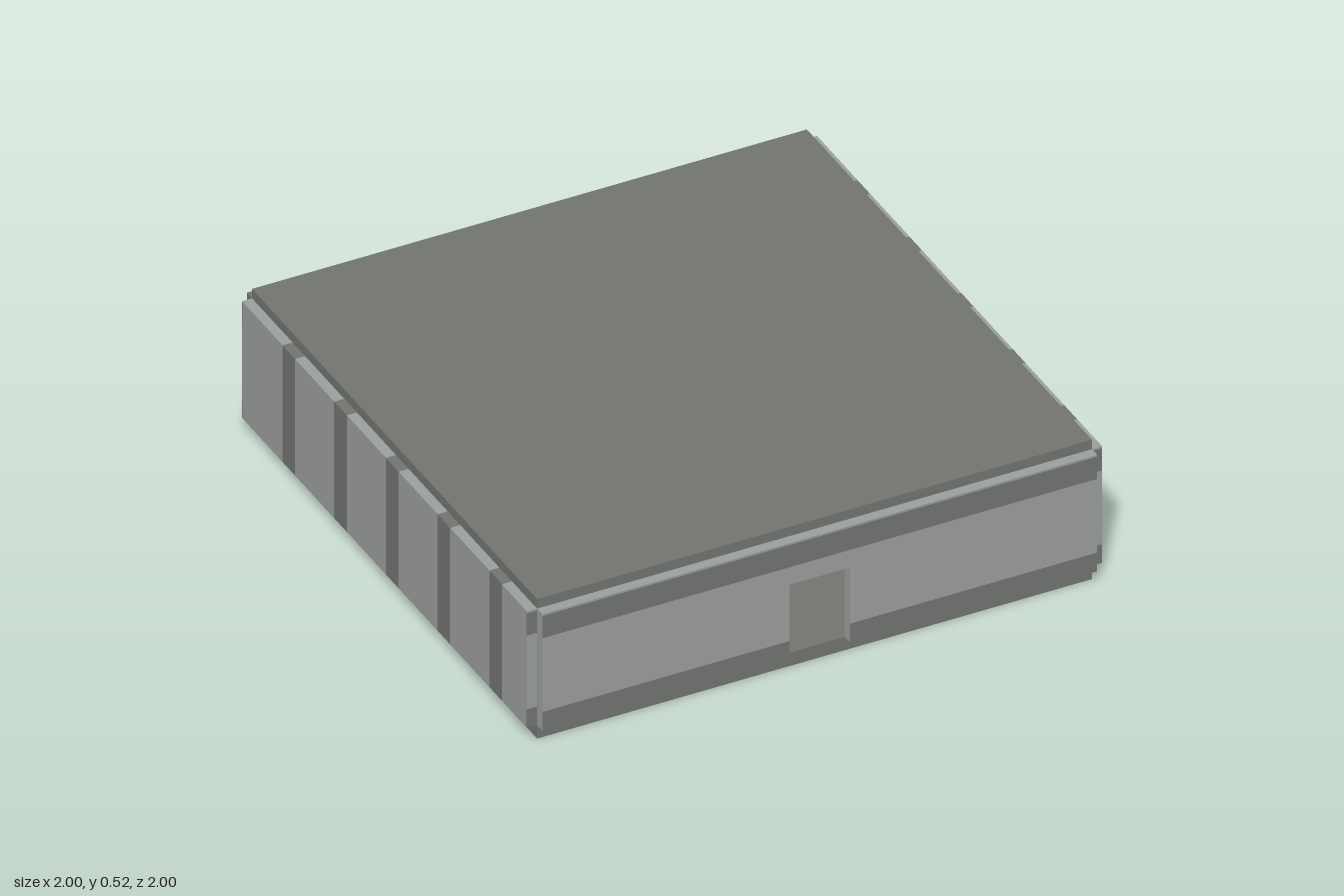
import * as THREE from 'three';

const light = new THREE.MeshStandardMaterial({ color: 0x9a9e9c });
light.name = 'pale grey';
const dark = new THREE.MeshStandardMaterial({ color: 0x71746f });
dark.name = 'dark grey';

const IN = 0.965, OUT = 1, BASE = 0.05, TOP = 0.485;
const DOOR_X = 0.105, DOOR_TOP = 0.33;

// Box given by its minimum and maximum corners
function slab(parent, name, [x0, y0, z0], [x1, y1, z1], material) {
  const geometry = new THREE.BoxGeometry(x1 - x0, y1 - y0, z1 - z0);
  const mesh = new THREE.Mesh(geometry, material);
  mesh.position.set((x0 + x1) / 2, (y0 + y1) / 2, (z0 + z1) / 2);
  mesh.name = name;
  parent.add(mesh);
  return mesh;
}

// Horizontal colour bands of the end walls: bottom, top, colour
const bands = [
  [BASE, 0.12, dark],
  [0.12, DOOR_TOP, light],
  [DOOR_TOP, 0.395, light],
  [0.395, 0.478, dark],
  [0.478, TOP, light],
];

// Banded wall with a doorway; its narrow edges have one colour
function doorWall(name, z0, z1, edge) {
  const wall = new THREE.Group();
  wall.name = name;
  for (const [y0, y1, color] of bands) {
    const faces = [edge, edge, edge, edge, color, color];
    if (y1 <= DOOR_TOP) {
      slab(wall, 'wallBesideDoor', [-IN, y0, z0], [-DOOR_X, y1, z1], faces);
      slab(wall, 'wallBesideDoor', [DOOR_X, y0, z0], [IN, y1, z1], faces);
    } else {
      slab(wall, 'wallAboveDoor', [-IN, y0, z0], [IN, y1, z1], faces);
    }
  }
  return wall;
}

// Side wall with five vertical stripes and banded ends
function sideWall(name, side) {
  const wall = new THREE.Group();
  wall.name = name;
  const x0 = side > 0 ? IN : -OUT, x1 = side > 0 ? OUT : -IN;
  const tip = 0.004;
  let z = -IN + tip;
  for (let i = 0; i < 5; i++) {
    const start = -0.69 + i * 0.35, end = start + 0.085;
    slab(wall, 'wallPanel', [x0, BASE, z], [x1, TOP, start], light);
    slab(wall, 'wallStripe', [x0, BASE, start], [x1, TOP, end], dark);
    z = end;
  }
  slab(wall, 'wallPanel', [x0, BASE, z], [x1, TOP, IN - tip], light);
  for (const [y0, y1, color] of bands) {
    slab(wall, 'wallEnd', [x0, y0, IN - tip], [x1, y1, IN], color);
    slab(wall, 'wallEnd', [x0, y0, -IN], [x1, y1, -IN + tip], color);
  }
  return wall;
}

export function createModel() {
  const room = new THREE.Group();
  room.name = 'room';

  // Floor and roof slabs
  slab(room, 'floor', [-IN, 0, -IN], [IN, BASE, IN], dark);
  slab(room, 'roof', [-IN, TOP, -IN], [IN, 0.52, IN], dark);

  // Four walls
  room.add(doorWall('frontWall', IN, OUT, light));
  room.add(doorWall('backWall', -OUT, -IN, dark));
  room.add(sideWall('leftWall', 1));
  room.add(sideWall('rightWall', -1));

  // Low bench with a backrest, beside the passage between the doors
  const bench = new THREE.Group();
  bench.name = 'bench';
  slab(bench, 'benchSeat', [0.12, BASE, -0.68], [0.36, 0.09, -0.56], dark);
  slab(bench, 'benchBack', [0.16, BASE, -0.56], [0.36, 0.2, -0.53], light);
  room.add(bench);

  // Tall cabinet on the other side of the passage
  slab(room, 'cabinet', [-0.42, BASE, -0.62], [-0.15, TOP, -0.5], light);

  return room;
}
